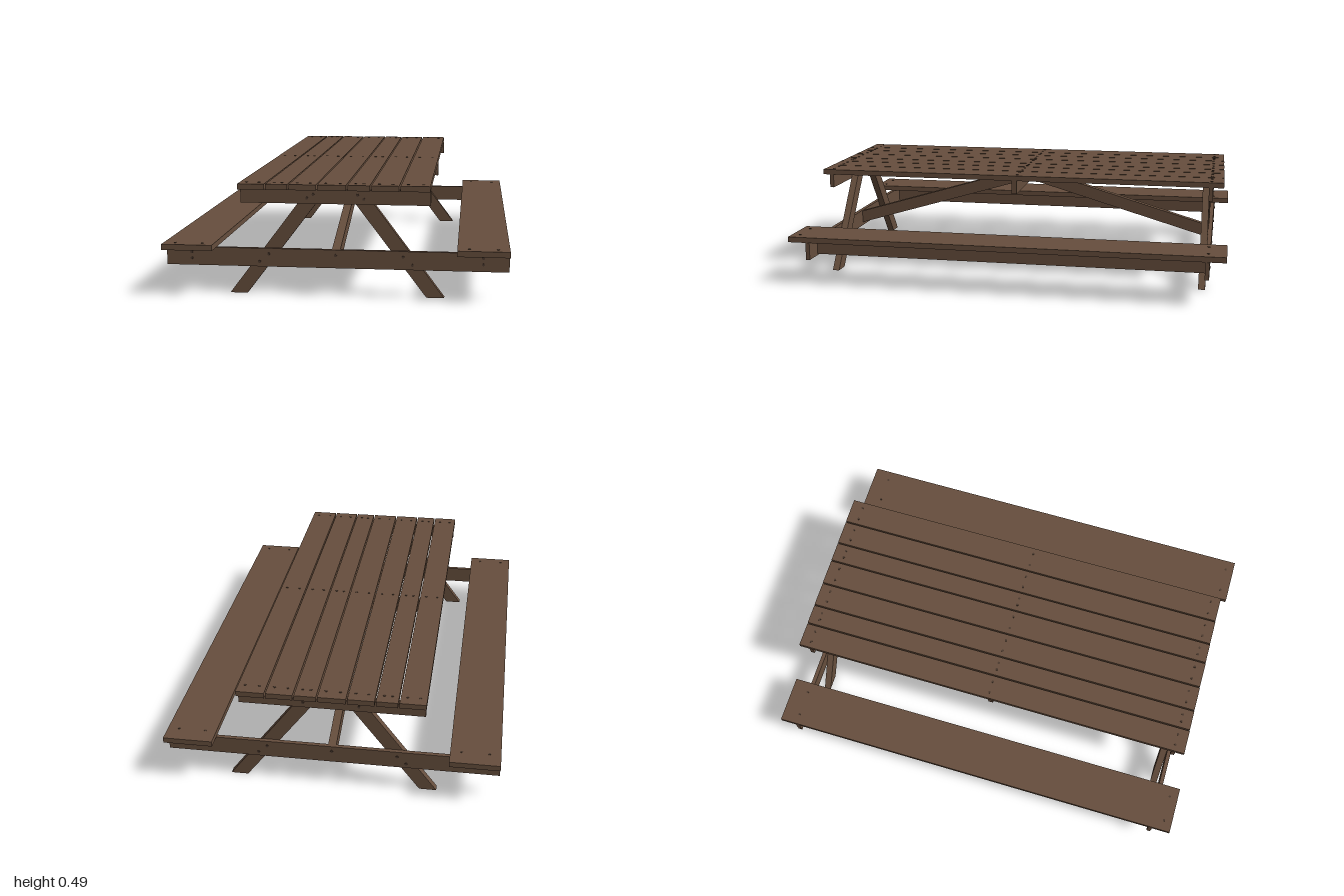
import * as THREE from 'three';

export function createModel() {
  const model = new THREE.Group();
  model.name = 'picnicTable';
  const wood = new THREE.MeshStandardMaterial({ color: 0x664e3d });
  wood.name = 'brownWood';
  const metal = new THREE.MeshStandardMaterial({ color: 0x4a392e });
  metal.name = 'darkBolt';

  const add = (name, geometry, material = wood) => {
    const mesh = new THREE.Mesh(geometry, material);
    mesh.name = name;
    model.add(mesh);
    return mesh;
  };

  // Box given by its limits on each axis
  const board = (name, [x0, x1], [y0, y1], [z0, z1]) =>
    add(name, new THREE.BoxGeometry(x1 - x0, y1 - y0, z1 - z0))
      .position.set((x0 + x1) / 2, (y0 + y1) / 2, (z0 + z1) / 2);

  // Flat outline extruded to a centred thickness
  const slab = (points, depth) => {
    const shape = new THREE.Shape(points.map(([x, y]) => new THREE.Vector2(x, y)));
    return new THREE.ExtrudeGeometry(shape, { depth, bevelEnabled: false })
      .translate(0, 0, -depth / 2);
  };

  // Small round heads, upright or facing along z
  const head = (name, x, y, z, alongZ) => {
    const bolt = add(name, new THREE.CylinderGeometry(0.006, 0.006, 0.008, 8), metal);
    bolt.position.set(x, y, z);
    if (alongZ) bolt.rotation.x = Math.PI / 2;
  };

  // Seven table planks with narrow gaps and slightly uneven ends
  const edges = [-0.414, -0.294, -0.194, -0.072, 0.056, 0.157, 0.28, 0.41];
  for (let i = 0; i < 7; i++) {
    const x0 = edges[i], x1 = edges[i + 1] - 0.006;
    const shift = i * 0.001;
    board('tabletopPlank', [x0, x1], [0.466, 0.49], [-0.97 - shift, 0.955 - shift]);
    for (const z of [-0.92, -0.01, 0.905]) {
      for (const x of [x0 + 0.03, x1 - 0.03]) head('plankScrew', x, 0.488, z, false);
    }
  }

  // Cleat under the middle of the tabletop
  board('middleCleat', [-0.405, 0.405], [0.403, 0.466], [-0.012, 0.012]);

  // Two end frames
  for (const s of [1, -1]) {
    const legZ = s > 0 ? 0.881 : -0.892;
    const inner = legZ + s * 0.016, outer = inner + s * 0.019;
    const span = [Math.min(inner, outer), Math.max(inner, outer)];
    board('endCleat', [-0.41, 0.406], [0.403, 0.466], span);
    board('crossBeam', [-0.74, 0.74], [0.124, 0.204], span);

    for (const m of [1, -1]) {
      // Splayed leg
      const outline = [[0.39, 0], [0.466, 0], [0.117, 0.465], [0.037, 0.465]];
      add('leg', slab(outline.map(([x, y]) => [x * m, y]), 0.032)).position.z = legZ;
      // Bolts through the frame
      const bolts = [[0.63, 0.155], [0.63, 0.182], [0.29, 0.18],
        [0.33, 0.145], [0.095, 0.443], [0.122, 0.427]];
      for (const [x, y] of bolts) head('frameBolt', x * m, y, outer, true);
    }
    head('frameBolt', 0, 0.18, outer, true);

    // Diagonal brace from the middle cleat down to the cross beam
    const end = Math.abs(inner);
    const brace = slab([[0, 0.405], [end, 0.14], [end, 0.2], [0, 0.466]], 0.036);
    add('diagonalBrace', brace).rotation.y = -s * Math.PI / 2;
  }

  // Benches, each with a lengthwise rail below
  for (const m of [1, -1]) {
    const xs = m > 0 ? [0.52, 0.74] : [-0.74, -0.52];
    board('benchSeat', xs, [0.205, 0.23], [-1, 1]);
    board('benchRail', [m * 0.63 - 0.016, m * 0.63 + 0.016], [0.13, 0.205], [-0.908, 0.897]);
    for (const z of [-0.92, 0.96]) {
      for (const x of [0.57, 0.69]) head('seatScrew', m * x, 0.228, z, false);
    }
  }
  return model;
}
